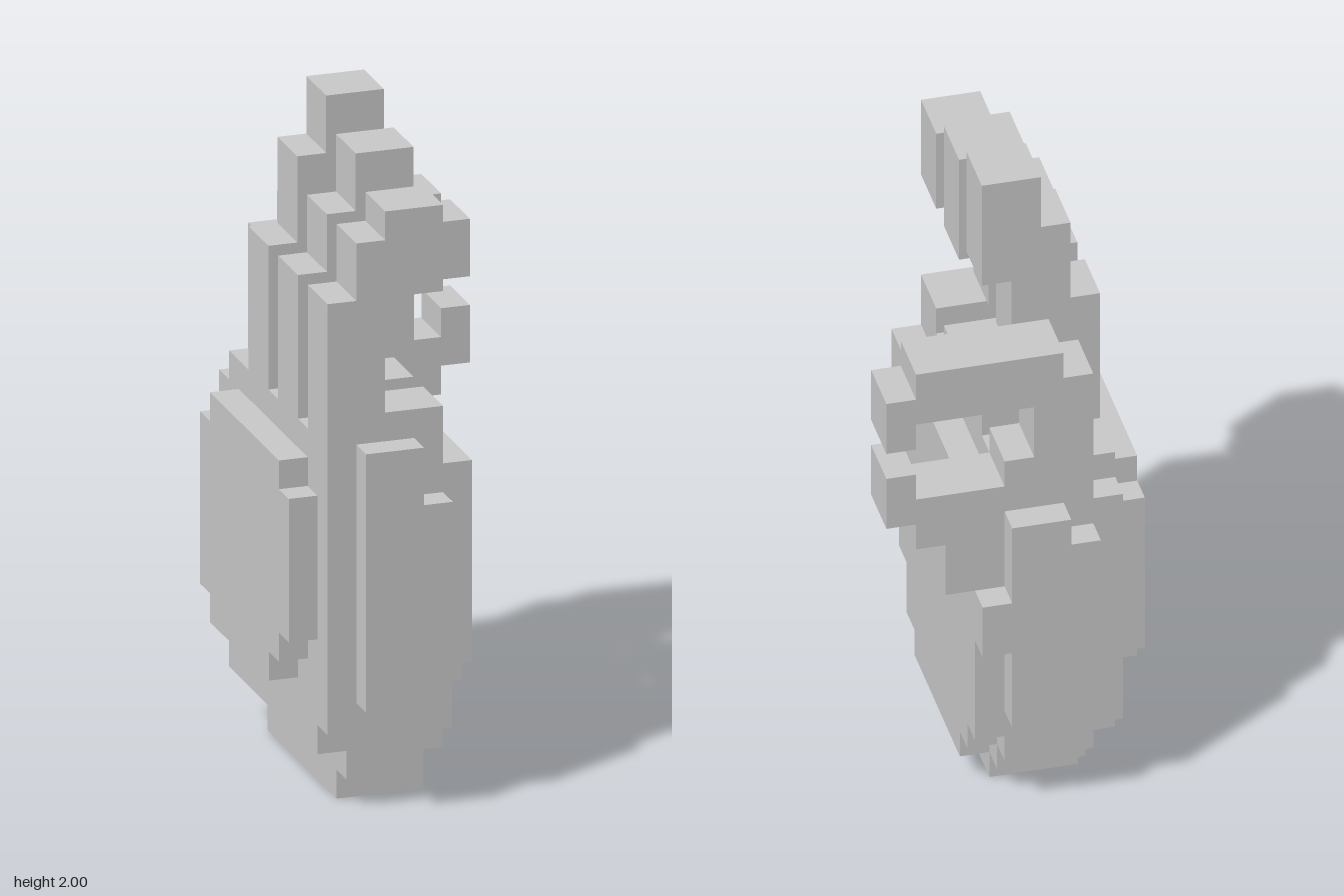
import * as THREE from 'three';

const U = 2 / 23; // one block
const material = new THREE.MeshStandardMaterial({ color: 0xcccccc, flatShading: true });

// Box between block coordinates (9 wide, 23 tall, 13 deep)
function block(parent, name, [x0, x1], [y0, y1], [z0, z1]) {
  const geometry = new THREE.BoxGeometry((x1 - x0) * U, (y1 - y0) * U, (z1 - z0) * U);
  const mesh = new THREE.Mesh(geometry, material);
  mesh.name = name;
  mesh.position.set(((x0 + x1) / 2 - 4.5) * U, ((y0 + y1) / 2) * U, ((z0 + z1) / 2 - 6.5) * U);
  parent.add(mesh);
}

function part(parent, name) {
  const group = new THREE.Group();
  group.name = name;
  parent.add(group);
  return group;
}

// Slab of constant x range made of columns [z0, z1, bottom, top]
function slab(parent, name, xs, columns) {
  const group = part(parent, name);
  for (const [z0, z1, y0, y1] of columns) block(group, name + 'Column', xs, [y0, y1], [z0, z1]);
}

// Curled finger: stacked sections [x0, x1, y0, y1]
function finger(parent, name, zs, sections) {
  const group = part(parent, name);
  for (const [x0, x1, y0, y1] of sections) block(group, name + 'Section', [x0, x1], [y0, y1], zs);
}

export function createModel() {
  const hand = new THREE.Group();
  hand.name = 'hand';

  // Palm, layered from the back of the hand to the palm face
  slab(hand, 'backOfHand', [0, 1], [[2, 3, 5, 11], [3, 9, 4, 12], [9, 10, 5, 12], [10, 11, 6, 11]]);
  slab(hand, 'knuckleLayer', [1, 2], [[1, 2, 3, 12], [2, 11, 2, 13], [11, 12, 3, 13]]);
  slab(hand, 'palmCore', [2, 4], [[1, 2, 2, 13], [2, 3, 1, 13], [3, 10, 0, 13], [10, 11, 1, 13], [11, 12, 3, 13]]);
  slab(hand, 'palmInner', [4, 5], [[1, 2, 2, 13], [2, 3, 1, 13], [3, 10, 0, 13], [10, 11, 2, 13], [11, 12, 4, 13]]);
  slab(hand, 'palmFace', [5, 6], [
    [1, 2, 3, 12], [2, 3, 2, 12], [3, 9, 1, 12], [9, 10, 2, 12], [10, 11, 4, 12], [11, 12, 5, 12],
  ]);

  // Outer edge pad and thumb-side pad
  const edgePad = part(hand, 'outerEdgePad');
  block(edgePad, 'outerEdge', [2, 4], [4, 13], [12, 13]);
  block(edgePad, 'outerEdgeStep', [4, 5], [6, 11], [12, 13]);
  const thumbPad = part(hand, 'thumbPad');
  block(thumbPad, 'thumbPadBack', [2, 3], [5, 11], [0, 1]);
  block(thumbPad, 'thumbPadMiddle', [3, 5], [4, 12], [0, 1]);
  block(thumbPad, 'thumbPadFront', [5, 6], [7, 9], [0, 1]);

  // Three raised fingers: z start, tip underside, middle step and tip top
  const raised = [
    ['littleFinger', 10, 18, 20, 21],
    ['ringFinger', 7, 18, 20, 22],
    ['middleFinger', 4, 19, 21, 23],
  ];
  for (const [name, z, under, step, top] of raised) {
    finger(hand, name, [z, z + 2], [
      [1, 5, 13, 14],
      [1, 3, 14, 16],
      [1, 4, 16, 18],
      ...(under > 18 ? [[2, 4, 18, under]] : []),
      [2, 5, under, step],
      [3, 5, step, top],
    ]);
  }

  // Index finger and thumb bent towards each other
  finger(hand, 'indexFinger', [1, 3], [
    [2, 5, 13, 14], [2, 4, 14, 16], [2, 8, 16, 17], [3, 8, 17, 18], [8, 9, 15, 17],
  ]);
  finger(hand, 'thumb', [1, 3], [
    [5, 6, 12, 13], [6, 7, 9, 13], [7, 8, 11, 13], [8, 9, 12, 14],
  ]);
  return hand;
}
